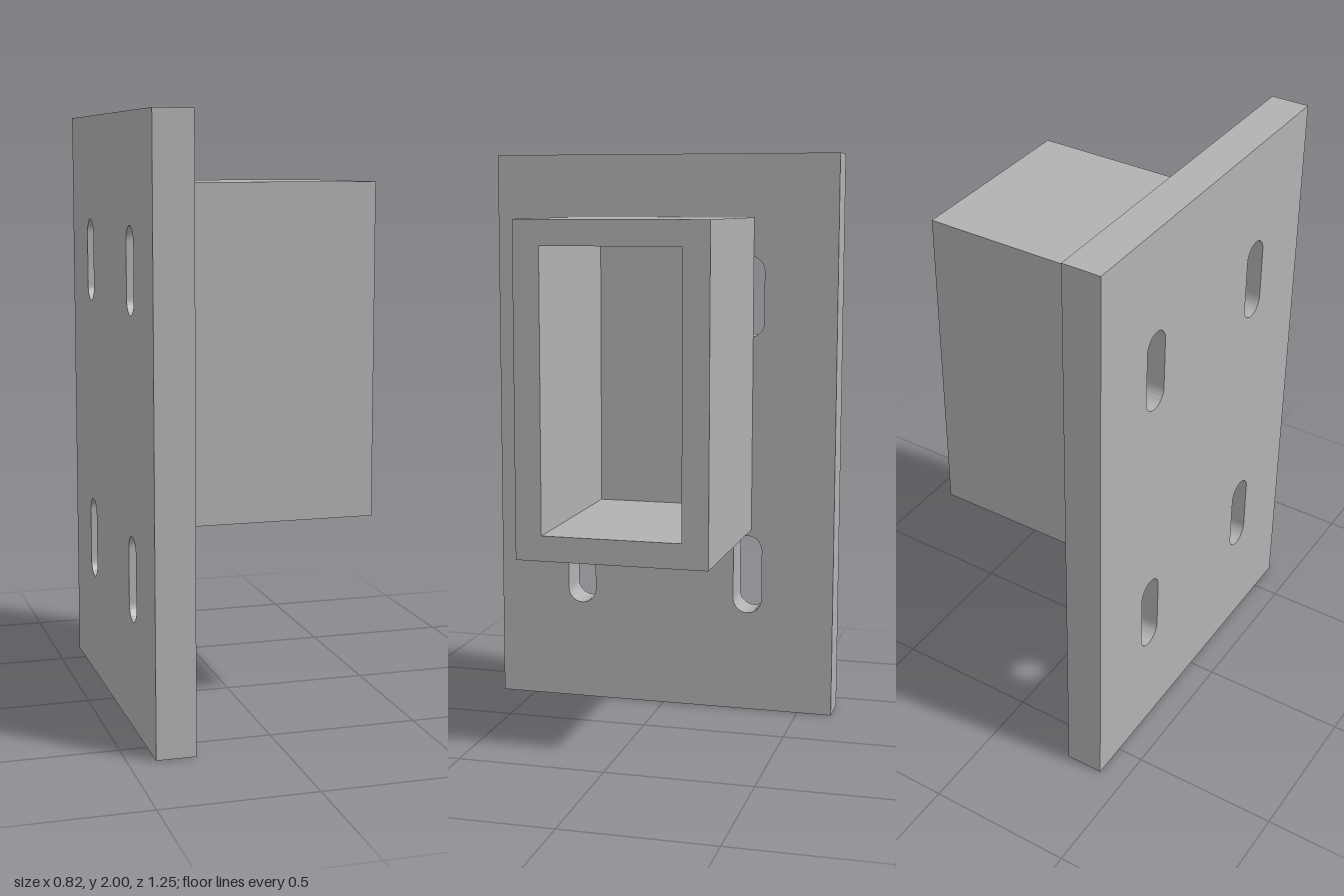
import * as THREE from 'three';
import { toCreasedNormals } from 'three/addons/utils/BufferGeometryUtils.js';

const steel = new THREE.MeshStandardMaterial({ color: 0xb2b2b2 });
steel.name = 'greySteel';

// Rectangle outline, symmetric across the centre line
function rectangle(PathType, halfWidth, bottom, top) {
  const p = new PathType();
  p.moveTo(-halfWidth, bottom);
  p.lineTo(halfWidth, bottom);
  p.lineTo(halfWidth, top);
  p.lineTo(-halfWidth, top);
  p.closePath();
  return p;
}

// Upright slot with rounded ends
function slot(cx, cy, radius, height) {
  const h = height / 2 - radius;
  const p = new THREE.Path();
  p.absarc(cx, cy + h, radius, 0, Math.PI, false);
  p.absarc(cx, cy - h, radius, Math.PI, Math.PI * 2, false);
  p.closePath();
  return p;
}

// Extrude a side profile along x, from x0 to x1
function extrudeAlongX(name, shape, x0, x1) {
  const geometry = new THREE.ExtrudeGeometry(shape, {
    depth: x1 - x0, bevelEnabled: false, curveSegments: 16,
  });
  geometry.rotateY(Math.PI / 2).translate(x0, 0, 0);
  const mesh = new THREE.Mesh(toCreasedNormals(geometry, Math.PI / 6), steel);
  mesh.name = name;
  return mesh;
}

export function createModel() {
  const group = new THREE.Group();
  group.name = 'wallBracket';

  // Mounting plate with four slotted bolt holes
  const plate = rectangle(THREE.Shape, 0.623, 0, 2);
  for (const side of [-1, 1]) {
    for (const y of [0.502, 1.502]) plate.holes.push(slot(side * 0.312, y, 0.052, 0.284));
  }
  group.add(extrudeAlongX('mountingPlate', plate, -0.41, -0.28));

  // Rectangular socket, open at its outer end and closed by the plate
  const socket = rectangle(THREE.Shape, 0.325, 0.667, 1.779);
  socket.holes.push(rectangle(THREE.Path, 0.236, 0.752, 1.694));
  group.add(extrudeAlongX('socketTube', socket, -0.28, 0.41));

  return group;
}
